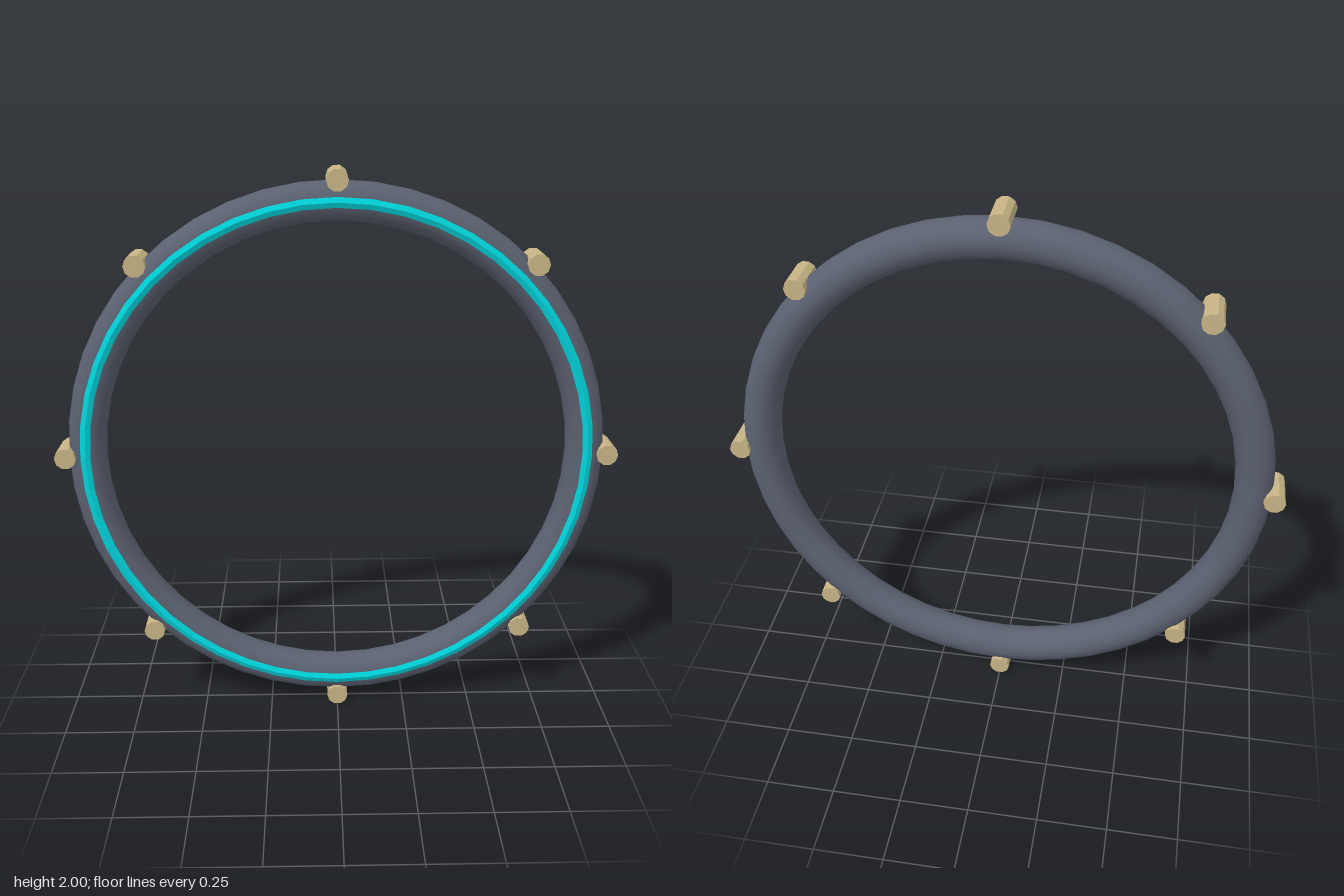
import * as THREE from 'three';

const mat = (name, color, flatShading = false) => {
  const m = new THREE.MeshStandardMaterial({ color, flatShading });
  m.name = name;
  return m;
};

export function createModel() {
  const model = new THREE.Group();
  model.name = 'ringGate';
  const slate = mat('slateGrey', 0x5b6170);
  const cyan = mat('cyanGlow', 0x00d5dc, true);
  const tan = mat('tanMetal', 0xc8b586, true);

  const add = (name, geometry, material, x, y, z) => {
    const mesh = new THREE.Mesh(geometry, material);
    mesh.name = name;
    mesh.position.set(x, y, z);
    model.add(mesh);
    return mesh;
  };

  // Main hoop
  const R = 0.89;
  add('hoop', new THREE.TorusGeometry(R, 0.068, 16, 48), slate, 0, 1, 0);

  // Glowing strip sunk into the front of the hoop
  add('glowStrip', new THREE.TorusGeometry(R, 0.025, 8, 48), cyan, 0, 1, 0.047);

  // Eight pegs around the rim, running front to back
  const pegR = 0.038;
  const pegGeo = new THREE.CylinderGeometry(pegR, pegR, 0.138, 10);
  pegGeo.rotateX(Math.PI / 2).rotateZ(Math.PI / 2);
  for (let i = 0; i < 8; i++) {
    const a = (i * Math.PI) / 4;
    const r = 1 - pegR;
    add('rimPeg' + (i + 1), pegGeo, tan, r * Math.cos(a), 1 + r * Math.sin(a), 0);
  }
  return model;
}
